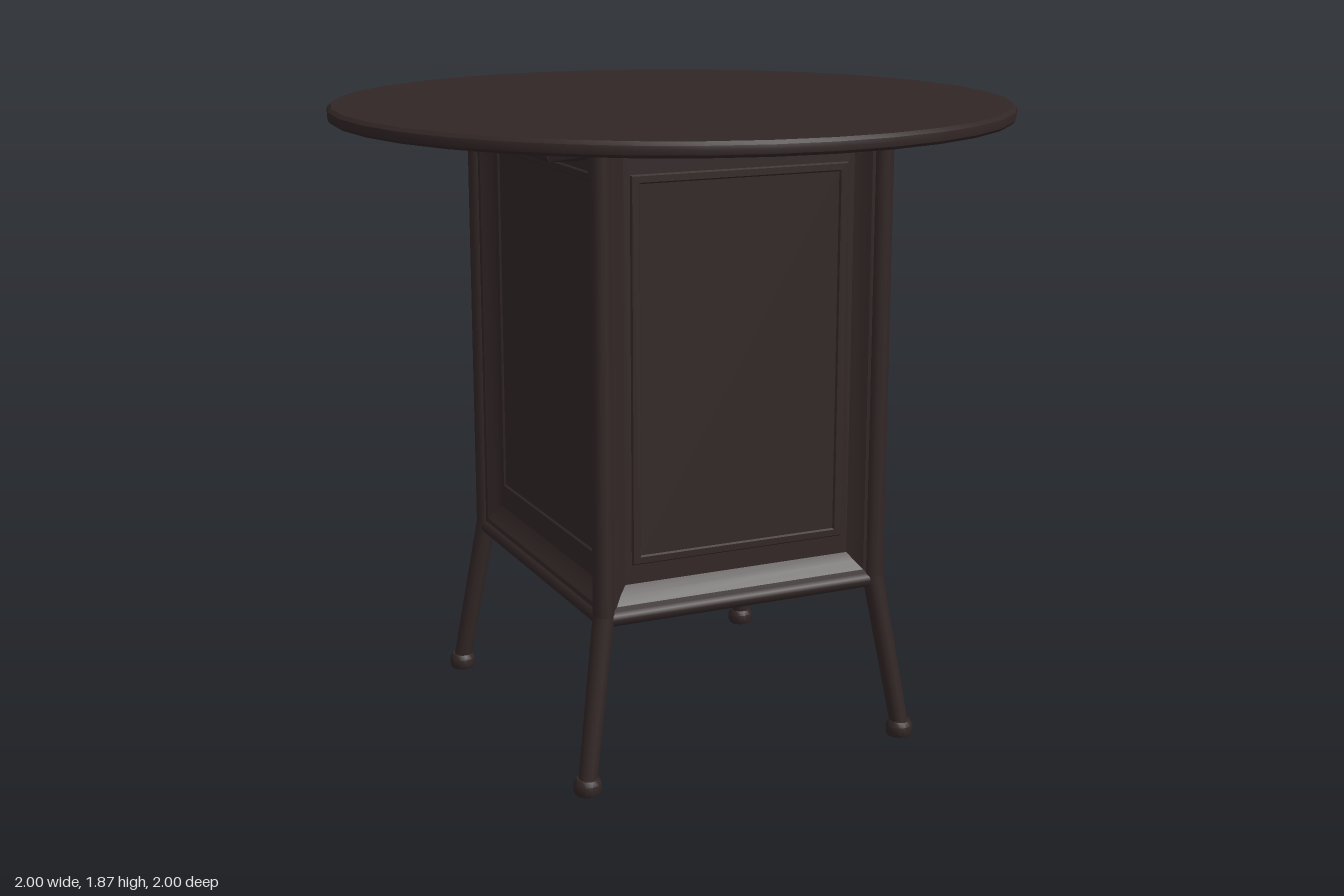
import * as THREE from 'three';
import { toCreasedNormals } from 'three/addons/utils/BufferGeometryUtils.js';

const POST_X = 0.432, POST_Z = 0.485; // corner post centres

export function createModel() {
  const table = new THREE.Group();
  table.name = 'pedestalTable';
  const wood = new THREE.MeshStandardMaterial({ color: 0x322626 });
  wood.name = 'dark wood';

  const add = (name, geometry, parent = table) => {
    const mesh = new THREE.Mesh(geometry, wood);
    mesh.name = name;
    parent.add(mesh);
    return mesh;
  };

  // Round bar between two points
  const bar = (name, a, b, ra, rb = ra) => {
    const from = new THREE.Vector3(...a), to = new THREE.Vector3(...b);
    const dir = to.clone().sub(from);
    const mesh = add(name, new THREE.CylinderGeometry(rb, ra, dir.length(), 12));
    mesh.position.copy(from).addScaledVector(dir, 0.5);
    mesh.quaternion.setFromUnitVectors(new THREE.Vector3(0, 1, 0), dir.normalize());
    return mesh;
  };

  // Solid of revolution with crisp edges
  const turned = (points, sides) => toCreasedNormals(
    new THREE.LatheGeometry(points.map(p => new THREE.Vector2(...p)), sides), 0.6);

  // Round top with a softened rim
  add('tableTop', turned([[0, 1.83], [0.99, 1.83], [0.998, 1.838], [1, 1.85],
    [0.998, 1.862], [0.988, 1.872], [0, 1.872]], 36));

  // Corner posts, splayed legs and feet
  for (const sx of [-1, 1]) for (const sz of [-1, 1]) {
    const x = sx * POST_X, z = sz * POST_Z;
    bar('cornerPost', [x, 0.48, z], [x, 1.828, z], 0.031);
    bar('leg', [sx * 0.507, 0.03, sz * 0.537], [x, 0.5, z], 0.027, 0.031);
    const foot = add('foot', turned([[0, 0], [0.036, 0], [0.04, 0.008], [0.04, 0.032],
      [0.032, 0.046], [0, 0.046]], 12));
    foot.position.set(sx * 0.507, 0, sz * 0.537);
  }

  // Bottom rails and floor of the cabinet
  for (const s of [-1, 1]) {
    bar('bottomRail', [-POST_X, 0.49, s * POST_Z], [POST_X, 0.49, s * POST_Z], 0.024);
    bar('bottomRail', [s * POST_X, 0.49, -POST_Z], [s * POST_X, 0.49, POST_Z], 0.024);
  }
  add('cabinetFloor', new THREE.BoxGeometry(2 * POST_X, 0.03, 2 * POST_Z)).position.y = 0.49;

  // Moulded side panels: nested rectangles of [side inset, bottom inset, top inset, depth]
  const profile = [
    [0, 0, 0, 0.012], [0.015, 0.015, 0.01, 0.008], [0.035, 0.04, 0.025, -0.012],
    [0.055, 0.065, 0.045, -0.024], [0.075, 0.12, 0.095, -0.024], [0.079, 0.124, 0.099, -0.018],
    [0.1, 0.142, 0.117, -0.018], [0.104, 0.146, 0.121, -0.024],
  ];
  const panelGeometry = (halfWidth, y0, y1) => {
    const pos = [], index = [];
    for (const [side, low, high, d] of profile) {
      const w = halfWidth - side, b = y0 + low, t = y1 - high;
      pos.push(-w, b, d, w, b, d, w, t, d, -w, t, d);
    }
    for (let r = 0; r < profile.length - 1; r++) for (let k = 0; k < 4; k++) {
      const a = r * 4 + k, b = r * 4 + (k + 1) % 4;
      index.push(a, b, b + 4, a, b + 4, a + 4);
    }
    const c = (profile.length - 1) * 4;
    index.push(c, c + 1, c + 2, c, c + 2, c + 3);
    const g = new THREE.BufferGeometry();
    g.setAttribute('position', new THREE.Float32BufferAttribute(pos, 3));
    g.setIndex(index);
    return toCreasedNormals(g, 0.35);
  };
  ['frontPanel', 'leftPanel', 'backPanel', 'rightPanel'].forEach((name, i) => {
    const alongX = i % 2 === 0;
    const pivot = new THREE.Group();
    pivot.name = name + 'Side';
    pivot.rotation.y = i * Math.PI / 2;
    table.add(pivot);
    const panel = add(name, panelGeometry(alongX ? 0.41 : 0.462, 0.508, 1.824), pivot);
    panel.position.z = alongX ? POST_Z : POST_X;
  });

  // Chamfered cleats under the top, either side of the cabinet
  const cleatSection = new THREE.Shape([[-0.062, 0.04], [-0.062, 0.015], [-0.05, 0],
    [0.05, 0], [0.062, 0.015], [0.062, 0.04]].map(p => new THREE.Vector2(...p)));
  for (const s of [-1, 1]) {
    const g = new THREE.ExtrudeGeometry(cleatSection, { depth: 1.13, bevelEnabled: false });
    g.translate(0, 0, -0.565);
    // Slope the ends inward toward the lower face
    const p = g.attributes.position;
    for (let i = 0; i < p.count; i++) if (p.getY(i) < 0.01) p.setZ(i, p.getZ(i) * 0.97);
    g.computeVertexNormals();
    add('cleat', g).position.set(s * 0.55, 1.788, 0);
    add('cleatPlate', new THREE.BoxGeometry(0.1, 0.008, 1.17)).position.set(s * 0.55, 1.825, 0);
  }
  return table;
}
